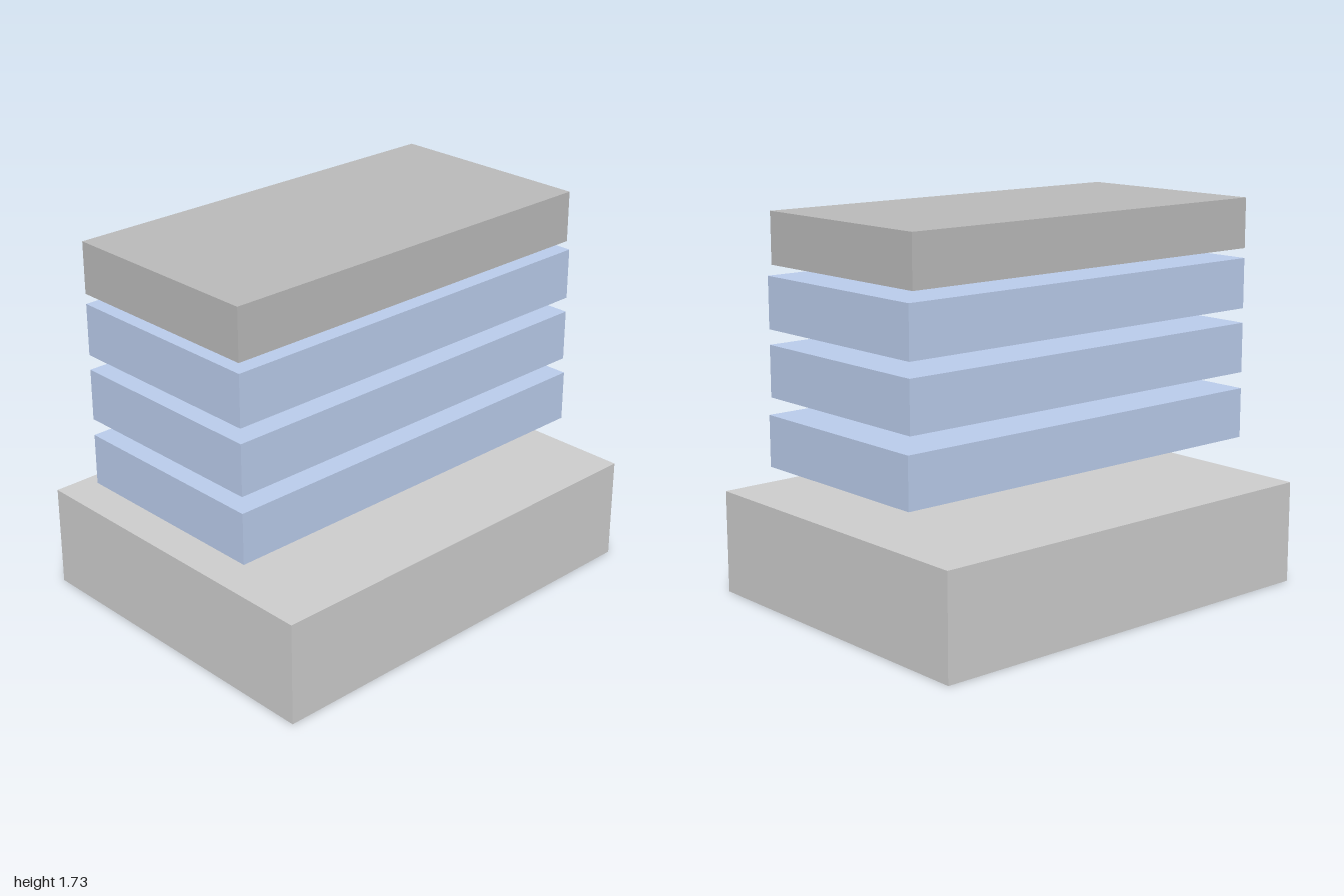
import * as THREE from 'three';

export function createModel() {
  const model = new THREE.Group();
  const material = (color) => new THREE.MeshStandardMaterial({ color });
  const grey = material(0xcccccc);
  const darkGrey = material(0xb9b9b9);
  const blue = material(0xb9cbea);

  // Box given by its extents along each axis
  const addBlock = (name, mat, [x0, x1], [y0, y1], [z0, z1]) => {
    const mesh = new THREE.Mesh(new THREE.BoxGeometry(x1 - x0, y1 - y0, z1 - z0), mat);
    mesh.position.set((x0 + x1) / 2, (y0 + y1) / 2, (z0 + z1) / 2);
    mesh.name = name;
    model.add(mesh);
  };

  // Wide base block
  addBlock('base', grey, [-1, 1], [0, 0.465], [-0.775, 0.775]);

  // Floating floors, flush on the right side of the model
  const depth = [-0.465, 0.497];
  const floors = [
    { right: 0.942, bottom: 0.62 },
    { right: 0.93, bottom: 0.925 },
    { right: 0.93, bottom: 1.222 },
  ];
  floors.forEach(({ right, bottom }, i) =>
    addBlock(`floor${i + 1}`, blue, [-1, right], [bottom, bottom + 0.23], depth));

  // Roof slab
  addBlock('roof', darkGrey, [-1, 0.91], [1.497, 1.726], depth);

  return model;
}
